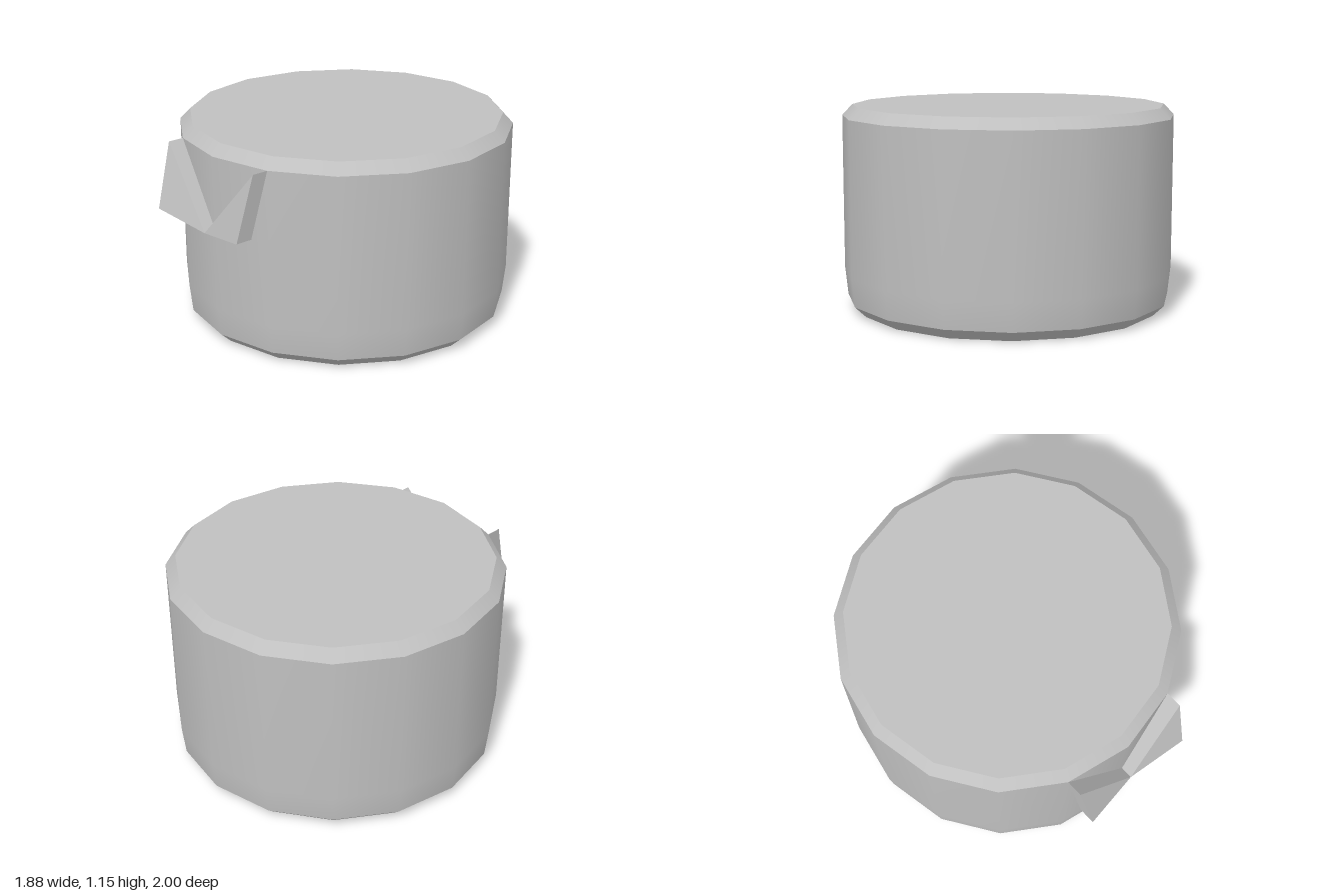
import * as THREE from 'three';

const SIDES = 16;

export function createModel() {
  const group = new THREE.Group();
  const grey = new THREE.MeshStandardMaterial({ color: 0xc0c0c0 });
  grey.name = 'plain grey';

  // Sixteen-sided torso; each band is its own lathe so its rims stay sharp
  const torso = new THREE.Group();
  torso.name = 'torso';
  torso.position.z = -0.06;
  const bands = {
    bottomCap: [[0, 0], [0.86, 0]],
    lowerBevel: [[0.86, 0], [0.923, 0.06]],
    wall: [[0.923, 0.06], [0.94, 0.22], [0.94, 1.095]],
    upperBevel: [[0.94, 1.095], [0.882, 1.155]],
    topCap: [[0.882, 1.155], [0, 1.155]],
  };
  for (const [name, profile] of Object.entries(bands)) {
    const points = profile.map(([r, y]) => new THREE.Vector2(r, y));
    const mesh = new THREE.Mesh(new THREE.LatheGeometry(points, SIDES), grey);
    mesh.name = name;
    torso.add(mesh);
  }
  group.add(torso);

  // Pointed collar flaps: a triangle in front joined to one behind
  const flap = (side) => {
    const corners = [
      [0.36, 1.095, 0.9], [0, 0.685, 0.95], [0.34, 0.74, 1.0],
      [0.36, 1.095, 0.808], [0, 0.685, 0.87], [0.34, 0.74, 0.905],
    ];
    const faces = [[0, 1, 2], [3, 5, 4]];
    for (let i = 0; i < 3; i++) {
      const j = (i + 1) % 3;
      faces.push([i, i + 3, j], [j, i + 3, j + 3]);
    }
    const positions = faces.flatMap((face) =>
      (side > 0 ? face : [...face].reverse()).flatMap((k) => {
        const [x, y, z] = corners[k];
        return [x * side, y, z];
      }));
    const geometry = new THREE.BufferGeometry();
    geometry.setAttribute('position', new THREE.Float32BufferAttribute(positions, 3));
    geometry.computeVertexNormals();
    return geometry;
  };
  for (const side of [1, -1]) {
    const mesh = new THREE.Mesh(flap(side), grey);
    mesh.name = side > 0 ? 'leftCollarFlap' : 'rightCollarFlap';
    group.add(mesh);
  }

  return group;
}
